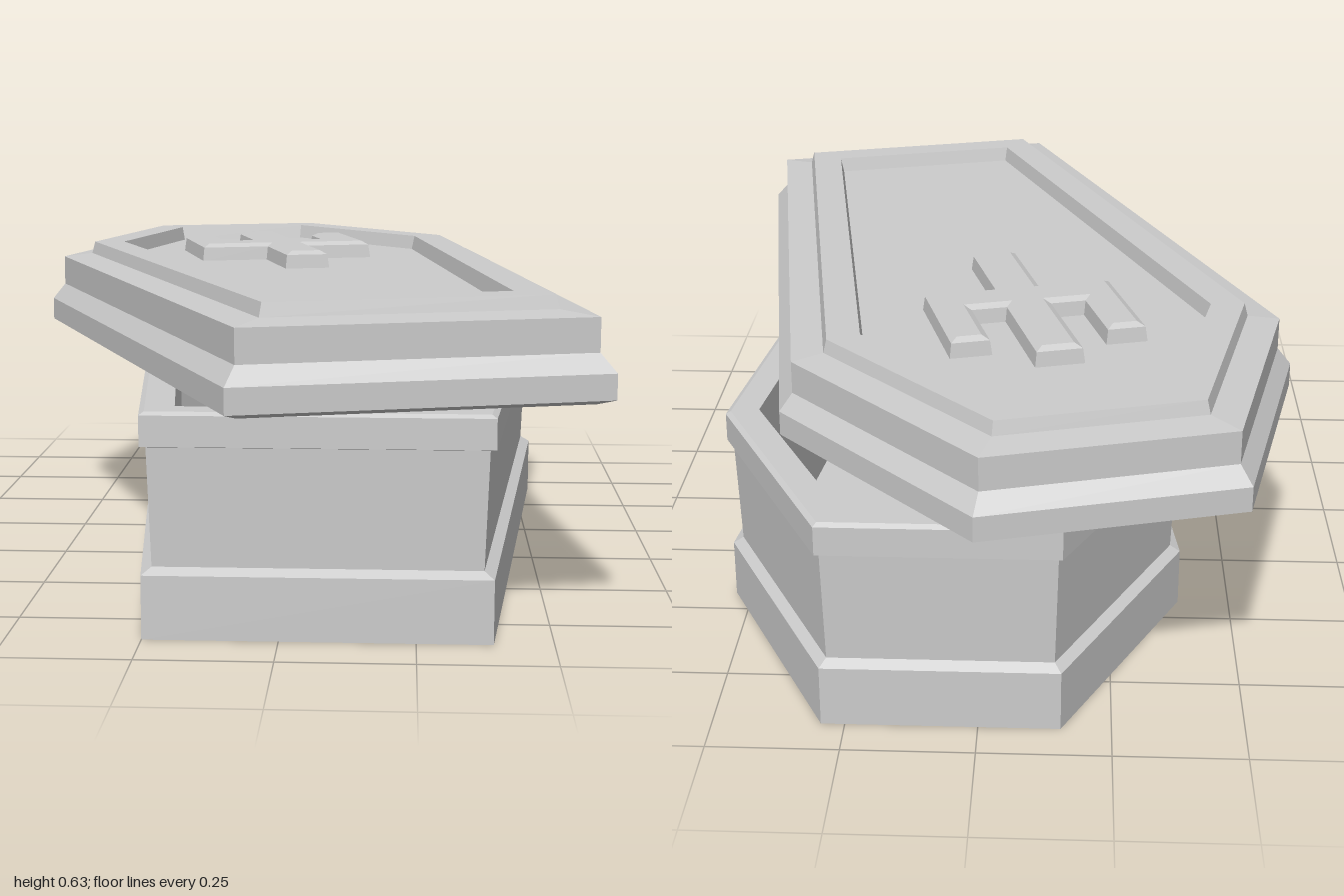
import * as THREE from 'three';

// Moves every edge of a counter-clockwise outline inward by d
function inset(outline, d) {
  const n = outline.length;
  return outline.map((p, i) => {
    const a = p.clone().sub(outline[(i + n - 1) % n]).normalize();
    const b = outline[(i + 1) % n].clone().sub(p).normalize();
    const k = d / (1 + a.dot(b));
    return new THREE.Vector2(p.x - (a.y + b.y) * k, p.y + (a.x + b.x) * k);
  });
}

// Sweeps a profile of [inset, height] steps around an outline and caps both ends
function loft(name, outline, profile) {
  const rings = profile.map(([d, y]) =>
    inset(outline, d).map((p) => new THREE.Vector3(p.x, y, -p.y)));
  const points = [];
  const n = outline.length;
  for (let r = 0; r < rings.length - 1; r++) {
    for (let i = 0; i < n; i++) {
      const j = (i + 1) % n;
      const [a, b, c, d] = [rings[r][i], rings[r][j], rings[r + 1][j], rings[r + 1][i]];
      points.push(a, b, c, a, c, d);
    }
  }
  const first = rings[0];
  const last = rings[rings.length - 1];
  for (const [a, b, c] of THREE.ShapeUtils.triangulateShape(inset(outline, profile[0][0]), [])) {
    points.push(first[a], first[c], first[b]);
  }
  for (const [a, b, c] of THREE.ShapeUtils.triangulateShape(inset(outline, profile[profile.length - 1][0]), [])) {
    points.push(last[a], last[b], last[c]);
  }
  const geometry = new THREE.BufferGeometry().setFromPoints(points);
  geometry.computeVertexNormals();
  const mesh = new THREE.Mesh(geometry,
    new THREE.MeshStandardMaterial({ color: 0xcccccc, flatShading: true }));
  mesh.name = name;
  return mesh;
}

// Mirrors a right-hand outline (foot to head) into a closed symmetric one
function mirrored(half) {
  const right = half.map(([x, z]) => new THREE.Vector2(x, -z));
  const left = half.map(([x, z]) => new THREE.Vector2(-x, -z)).reverse();
  return [...right, ...left];
}

export function createModel() {
  const model = new THREE.Group();
  model.name = 'coffin';

  // Hollow box with plinth, slightly flared walls and top rim
  const box = loft('box', mirrored([[0.32, 0.898], [0.465, -0.416], [0.225, -0.898]]), [
    [0, 0], [0, 0.12], [0.02, 0.132], [0.012, 0.355], [0, 0.358],
    [0, 0.415], [0.01, 0.421], [0.065, 0.421], [0.07, 0.06],
  ]);
  box.position.set(0.07, 0, -0.018);
  model.add(box);

  // Lid, turned aside on the box: hollow below, stepped edge, sunken top panel
  const lid = new THREE.Group();
  lid.name = 'lid';
  lid.add(loft('lidShell', mirrored([[0.36, 0.948], [0.528, -0.428], [0.257, -0.948]]), [
    [0.09, 0.54], [0.085, 0.425], [0.03, 0.425], [0, 0.436], [0, 0.485], [0.027, 0.52],
    [0.027, 0.585], [0.09, 0.593], [0.097, 0.62], [0.163, 0.62], [0.17, 0.588],
  ]));

  // Raised cross with upturned arms
  lid.add(loft('cross', mirrored([
    [0.05, 0], [0.05, -0.215], [0.2, -0.215], [0.2, -0.485],
    [0.115, -0.485], [0.115, -0.32], [0.05, -0.32], [0.05, -0.565],
  ]), [[0, 0.586], [0.004, 0.618], [0.018, 0.626]]));
  lid.position.set(0.008, 0, -0.018);
  lid.rotation.y = THREE.MathUtils.degToRad(15.5);
  model.add(lid);

  return model;
}
